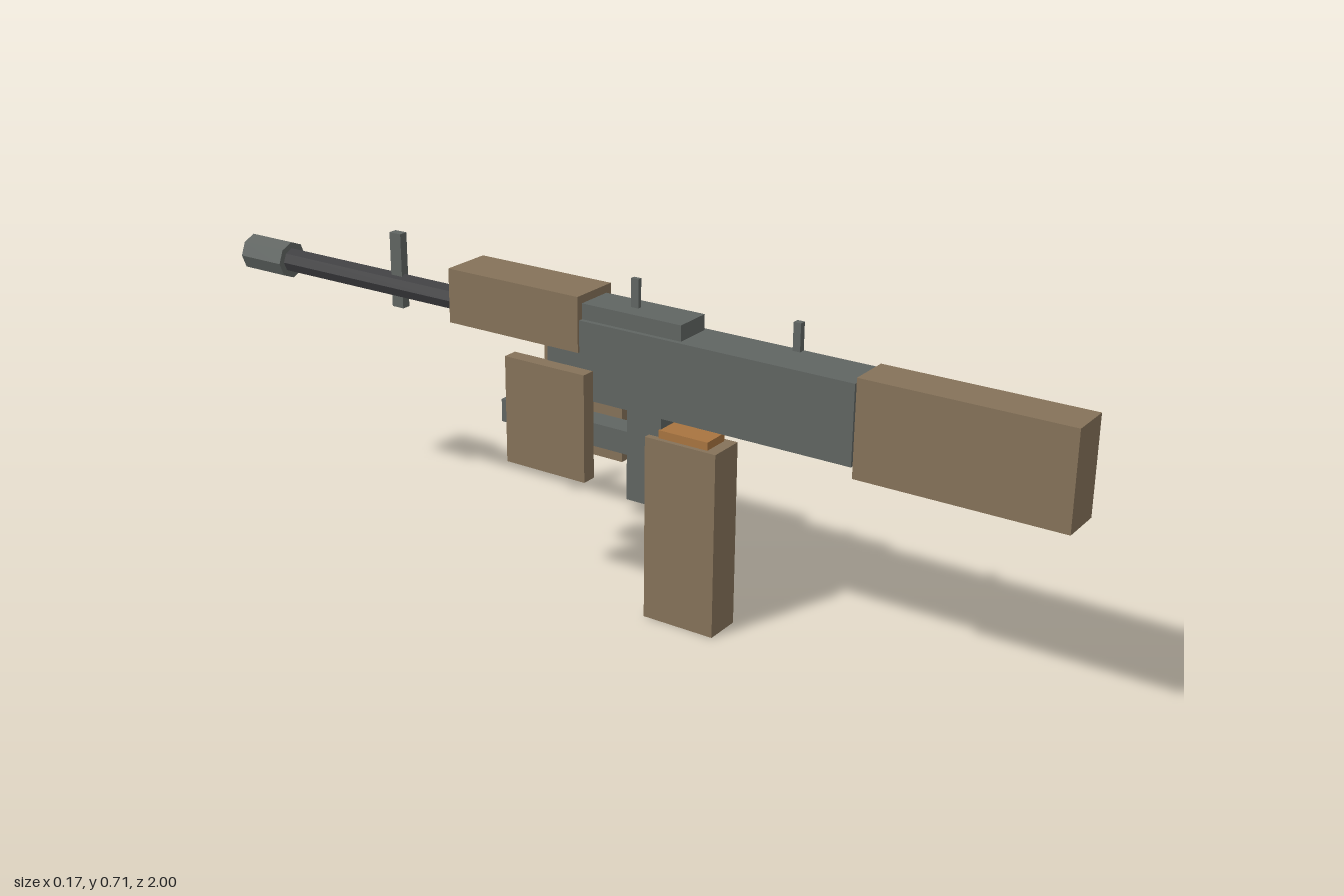
import * as THREE from 'three';

export function createModel() {
  const group = new THREE.Group();
  const material = (name, color) => {
    const m = new THREE.MeshStandardMaterial({ color, flatShading: true });
    m.name = name;
    return m;
  };
  const wood = material('wood', 0x857259);
  const metal = material('metal', 0x606562);
  const darkMetal = material('darkMetal', 0x3e3e40);
  const copper = material('copper', 0xa87440);

  // Box given by its limits along each axis
  const box = (name, mat, [x0, x1], [y0, y1], [z0, z1]) => {
    const mesh = new THREE.Mesh(new THREE.BoxGeometry(x1 - x0, y1 - y0, z1 - z0), mat);
    mesh.position.set((x0 + x1) / 2, (y0 + y1) / 2, (z0 + z1) / 2);
    mesh.name = name;
    group.add(mesh);
  };
  // Box centred on x = 0
  const midBox = (name, mat, halfWidth, y, z) => box(name, mat, [-halfWidth, halfWidth], y, z);

  // Eight-sided rod along z
  const rod = (name, mat, radius, y, z0, z1) => {
    const mesh = new THREE.Mesh(new THREE.CylinderGeometry(radius, radius, z1 - z0, 8), mat);
    mesh.rotation.x = Math.PI / 2;
    mesh.position.set(0, y, (z0 + z1) / 2);
    mesh.name = name;
    group.add(mesh);
  };

  // Body
  midBox('stock', wood, 0.046, [0.427, 0.627], [0.57, 1]);
  midBox('receiver', metal, 0.052, [0.452, 0.617], [-0.13, 0.57]);
  midBox('topCover', metal, 0.042, [0.61, 0.65], [-0.07, 0.185]);
  midBox('handguard', wood, 0.057, [0.55, 0.667], [-0.38, -0.05]);

  // Barrel
  rod('barrel', darkMetal, 0.027, 0.583, -0.89, -0.36);
  rod('muzzle', metal, 0.041, 0.583, -1, -0.883);

  // Sights
  midBox('frontSight', metal, 0.01, [0.535, 0.7], [-0.58, -0.55]);
  midBox('middleSight', metal, 0.005, [0.65, 0.71], [0.043, 0.06]);
  midBox('rearSight', metal, 0.007, [0.635, 0.692], [0.412, 0.428]);

  // Lower frame
  midBox('lowerPost', metal, 0.026, [0.245, 0.455], [0.048, 0.13]);
  midBox('lowerBar', metal, 0.026, [0.343, 0.393], [-0.272, 0.06]);

  // Magazine and its top round
  midBox('magazine', wood, 0.041, [0, 0.4], [0.102, 0.268]);
  midBox('magazineRound', copper, 0.031, [0.4, 0.417], [0.128, 0.243]);

  // Side panels
  box('leftPanel', wood, [0.05, 0.083], [0.285, 0.517], [-0.215, -0.017]);
  box('rightPanel', wood, [-0.083, -0.05], [0.285, 0.517], [-0.215, -0.017]);

  return group;
}
